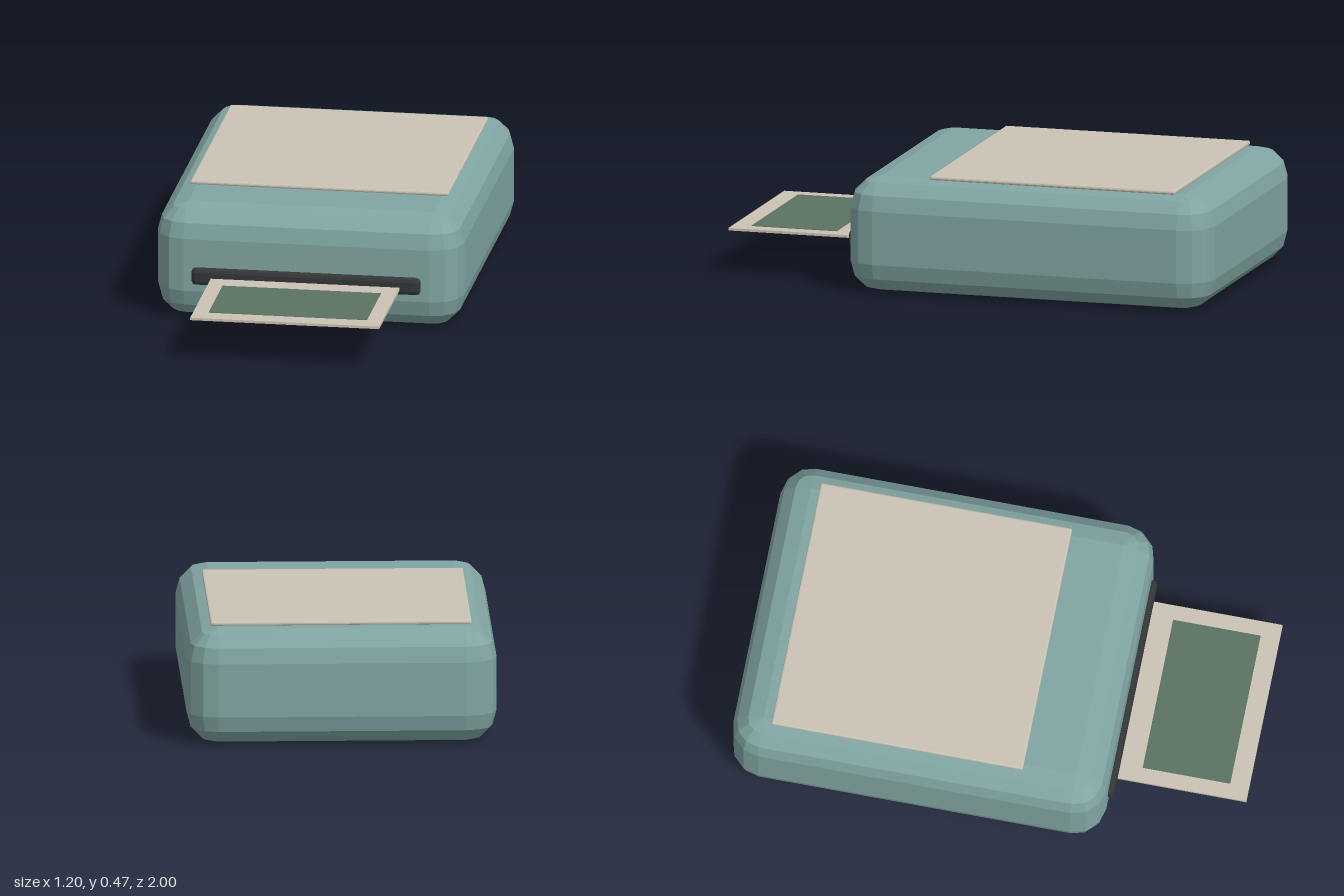
import * as THREE from 'three';
import { ConvexGeometry } from 'three/addons/geometries/ConvexGeometry.js';

const material = (color) => new THREE.MeshStandardMaterial({ color });

// Faceted box between two corners, its edges rounded by radius r in n steps
function bevelledBox(min, max, r, n) {
  const points = [];
  const centre = min.map((v, i) => (v + max[i]) / 2);
  const inner = min.map((v, i) => (max[i] - v) / 2 - r);
  for (const sx of [-1, 1]) for (const sy of [-1, 1]) for (const sz of [-1, 1]) {
    for (let i = 0; i <= n; i++) {
      const lat = (i / n) * Math.PI / 2;
      const steps = i === n ? 0 : n; // a single point at the pole
      for (let j = 0; j <= steps; j++) {
        const lon = (j / n) * Math.PI / 2;
        points.push(new THREE.Vector3(
          centre[0] + sx * (inner[0] + r * Math.cos(lat) * Math.cos(lon)),
          centre[1] + sy * (inner[1] + r * Math.sin(lat)),
          centre[2] + sz * (inner[2] + r * Math.cos(lat) * Math.sin(lon))));
      }
    }
  }
  return new ConvexGeometry(points);
}

function box(min, max) {
  const g = new THREE.BoxGeometry(...min.map((v, i) => max[i] - v));
  return g.translate(...min.map((v, i) => (v + max[i]) / 2));
}

export function createModel() {
  const group = new THREE.Group();
  const cream = material(0xcbc3b4);
  const add = (name, geometry, mat) => {
    const mesh = new THREE.Mesh(geometry, mat);
    mesh.name = name;
    group.add(mesh);
  };

  // Printer housing
  add('body', bevelledBox([-0.6, 0, -1], [0.6, 0.45, 0.47], 0.12, 3), material(0x80a5a2));
  // Thin plate on the top
  add('topPanel', bevelledBox([-0.505, 0.449, -0.845], [0.505, 0.465, 0.145], 0.006, 2), cream);
  // Dark output slot on the front
  add('outputSlot', bevelledBox([-0.448, 0.15, 0.445], [0.448, 0.218, 0.493], 0.016, 2), material(0x333536));
  // Print coming out of the slot, with its picture area
  add('photoPaper', box([-0.37, 0.172, 0.45], [0.37, 0.182, 1]), cream);
  add('photoImage', box([-0.31, 0.178, 0.58], [0.31, 0.184, 0.925]), material(0x5b7362));
  return group;
}
